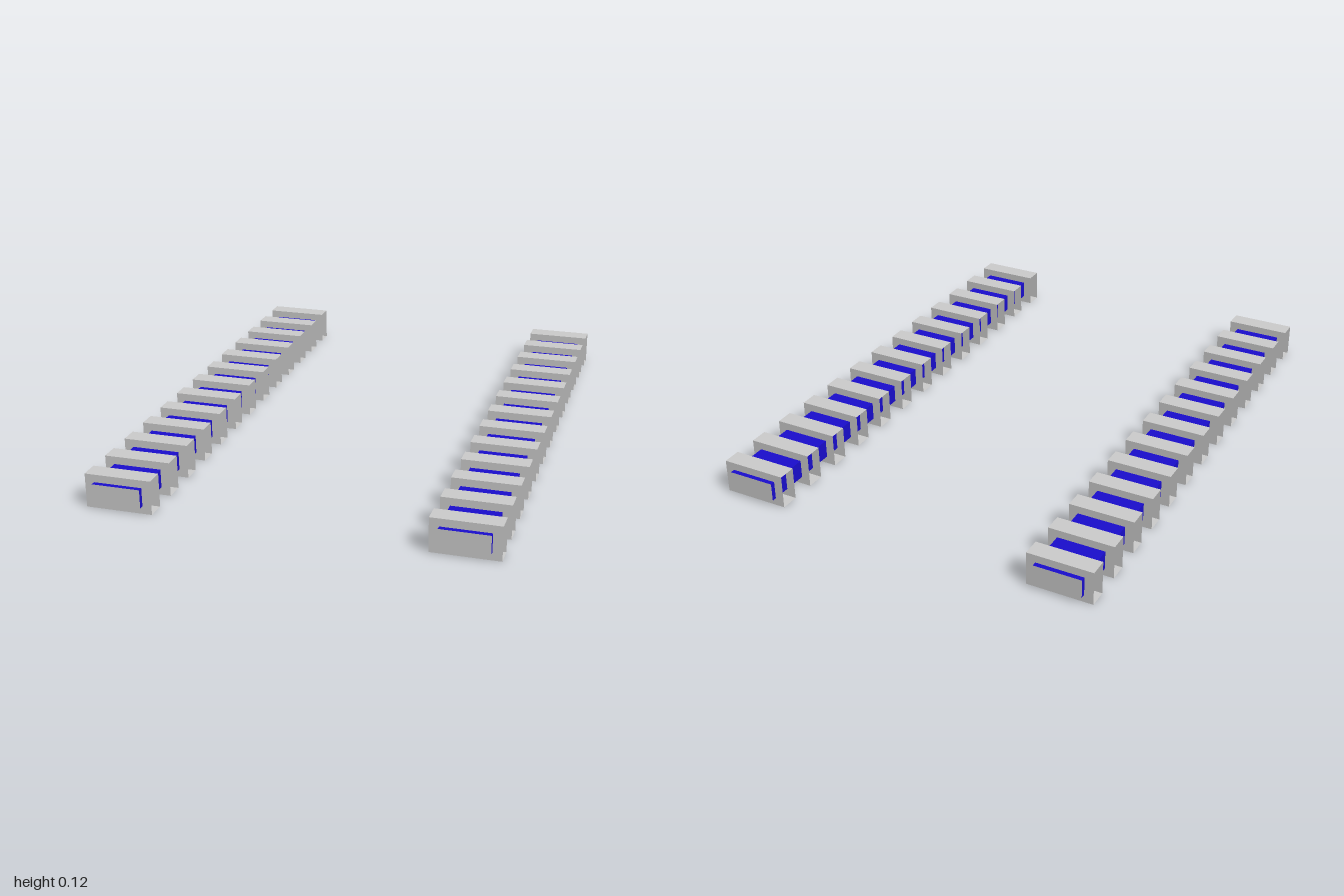
import * as THREE from 'three';

export function createModel() {
  const model = new THREE.Group();
  const grey = new THREE.MeshStandardMaterial({ color: 0xcccccc });
  const greyOpen = new THREE.MeshStandardMaterial({ color: 0xcccccc, side: THREE.DoubleSide });
  const blue = new THREE.MeshStandardMaterial({ color: 0x1a0dcc });

  const railX = 0.606, midY = 0.0625;
  const collar = { w: 0.243, h: 0.125, d: 0.068, count: 13, spacing: 0.158 };
  const beam = { w: 0.176, h: 0.068 };

  // Collar: a sleeve of four thin walls, open towards both sides
  const collarGeometry = new THREE.CylinderGeometry(Math.SQRT1_2, Math.SQRT1_2, 1, 4, 1, true, Math.PI / 4)
    .rotateZ(Math.PI / 2)
    .scale(collar.w, collar.h, collar.d)
    .toNonIndexed();
  collarGeometry.computeVertexNormals();

  // Beam: blue on its long sides, grey on its two ends
  const beamGeometry = new THREE.BoxGeometry(beam.w, beam.h, 2);
  const beamMaterials = [blue, blue, blue, blue, grey, grey];

  for (const side of [1, -1]) {
    const rail = new THREE.Group();
    rail.name = side > 0 ? 'leftRail' : 'rightRail';
    rail.position.set(side * railX, midY, 0);

    const bar = new THREE.Mesh(beamGeometry, beamMaterials);
    bar.name = 'beam';
    rail.add(bar);

    // Evenly spaced collars along the beam
    for (let i = 0; i < collar.count; i++) {
      const sleeve = new THREE.Mesh(collarGeometry, greyOpen);
      sleeve.name = 'collar';
      sleeve.position.z = (i - (collar.count - 1) / 2) * collar.spacing;
      rail.add(sleeve);
    }
    model.add(rail);
  }
  return model;
}
